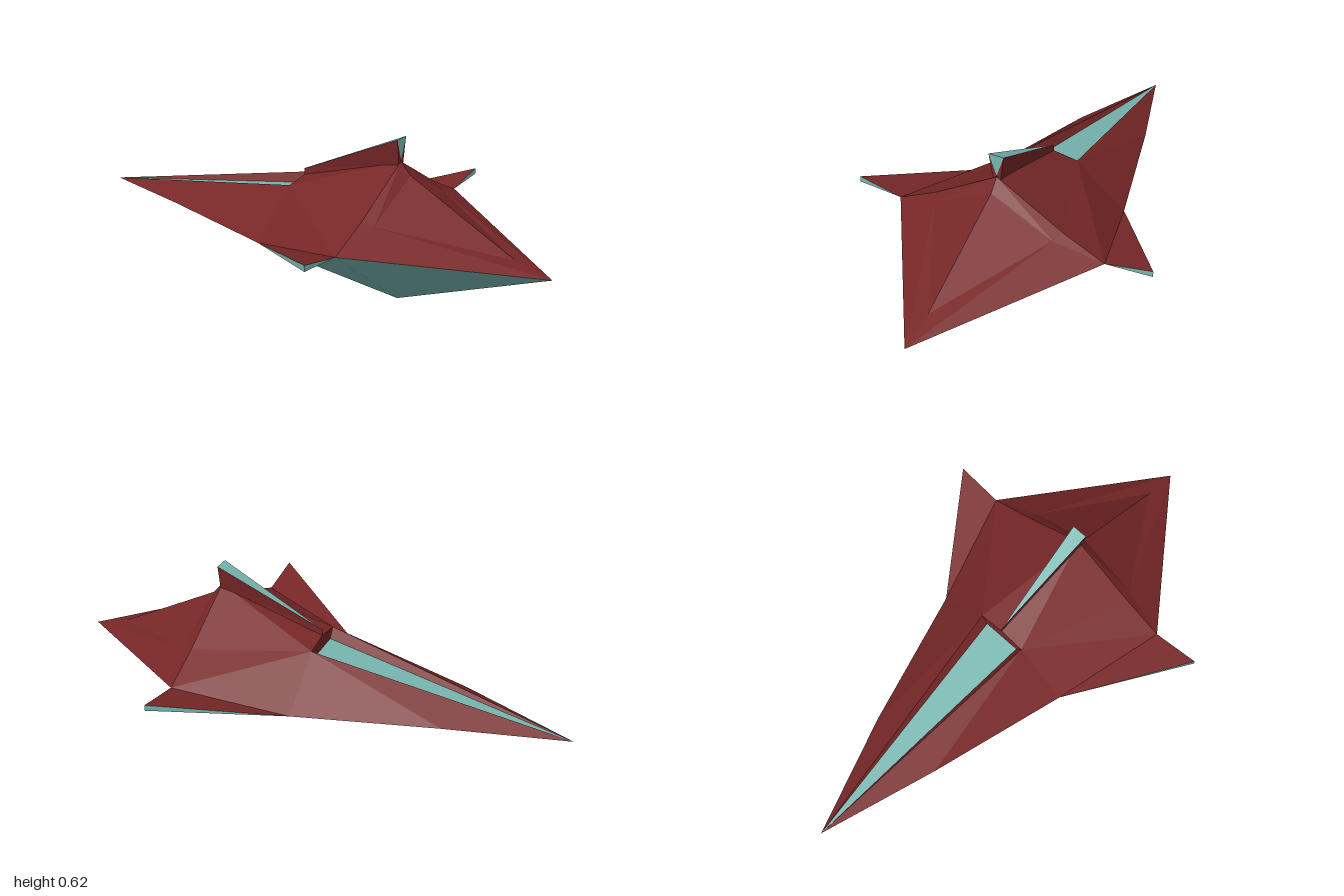
import * as THREE from 'three';

const paint = (name, color) => {
  const m = new THREE.MeshStandardMaterial({ color, side: THREE.DoubleSide, flatShading: true });
  m.name = name;
  return m;
};

// Flat polygons (corner lists) wound to face away from `inner`, mirrored across z = 0
function panels(name, material, polygons, inner, mirror = true) {
  const pos = [];
  const v = p => new THREE.Vector3(...p);
  const ref = v(inner);
  const tri = (a, b, c) => pos.push(...a.toArray(), ...b.toArray(), ...c.toArray());
  const flip = p => new THREE.Vector3(p.x, p.y, -p.z);
  for (const poly of polygons) {
    for (let i = 1; i < poly.length - 1; i++) {
      let [a, b, c] = [v(poly[0]), v(poly[i]), v(poly[i + 1])];
      const n = b.clone().sub(a).cross(c.clone().sub(a));
      if (n.dot(a.clone().sub(ref)) < 0) [b, c] = [c, b];
      tri(a, b, c);
      if (mirror) tri(flip(a), flip(c), flip(b));
    }
  }
  const g = new THREE.BufferGeometry();
  g.setAttribute('position', new THREE.Float32BufferAttribute(pos, 3));
  g.computeVertexNormals();
  const mesh = new THREE.Mesh(g, material);
  mesh.name = name;
  return mesh;
}

export function createModel() {
  const model = new THREE.Group();
  model.name = 'spaceship';
  const red = paint('dark red', 0x782727);
  const teal = paint('teal', 0x78b6b0);

  // Hull corners: nose at -x, tail at +x, one half only
  const nose = [-1, 0.2, 0], tail = [1, 0.225, 0];
  const side = [-0.55, 0.225, 0.15], waist = [-0.02, 0.225, 0.3], beam = [0.4, 0.31, 0.42];
  const keelMid = [-0.02, 0.065, 0], keel = [0.4, 0, 0];
  const ridge = [-0.02, 0.405, 0], peak = [0.4, 0.535, 0], shoulder = [0.4, 0.385, 0.26];
  const rim = [-0.02, 0.39, 0.1], floor = [-0.02, 0.35, 0.075];
  const stepTop = [0.44, 0.49, 0], stepSide = [0.44, 0.37, 0.24], tailRidge = [0.86, 0.265, 0];
  const core = [0.1, 0.22, 0];

  model.add(panels('upperHull', red, [
    [nose, side, rim], [side, waist, rim],
    [rim, waist, beam], [rim, beam, shoulder], [rim, shoulder, peak], [rim, peak, ridge],
  ], core));
  model.add(panels('tailDeck', red, [
    [peak, shoulder, stepSide, stepTop], [shoulder, beam, stepSide],
    [beam, tail, stepSide], [stepSide, tail, tailRidge], [stepSide, tailRidge, stepTop],
  ], core));
  model.add(panels('lowerHull', teal, [
    [nose, side, keelMid], [side, waist, keelMid],
    [waist, beam, keel], [waist, keel, keelMid], [beam, tail, keel],
  ], core));

  // Sunken cockpit: walls, rear bulkhead and canopy strip
  model.add(panels('cockpitWall', red, [[nose, rim, floor]], [-0.3, 0.2, 0.25]));
  model.add(panels('cockpitBulkhead', red, [[ridge, rim, floor, [-0.02, 0.35, 0]]], core));
  model.add(panels('canopy', teal, [[nose, floor, [-0.02, 0.35, 0]]], core));

  // Side wings: red on top, teal underneath, at the tip and behind
  const tipTop = [0.4, 0.345, 0.6], tipLow = [0.4, 0.322, 0.6];
  const wingCore = [0.35, 0.313, 0.5];
  model.add(panels('wingTop', red, [[waist, tipTop, beam]], wingCore));
  model.add(panels('wingUnderside', teal, [
    [waist, tipLow, beam], [waist, tipTop, tipLow], [beam, tipTop, tipLow],
  ], wingCore));

  // Dorsal fin, wider at the top
  const finFront = [-0.02, 0.43, 0], finTip = [0.4, 0.622, 0.03];
  const finFoot = [0.4, 0.525, 0.015], finNotch = [0.4, 0.54, 0];
  const finCore = [0.3, 0.53, 0];
  model.add(panels('finSide', red, [
    [finFront, finTip, finFoot, [-0.02, 0.4, 0]], [finTip, finFoot, finNotch],
  ], finCore));
  model.add(panels('finCap', teal, [
    [finFront, finTip, [0.4, 0.622, 0]], [finTip, finNotch, [0.4, 0.622, 0]],
  ], finCore));

  return model;
}
